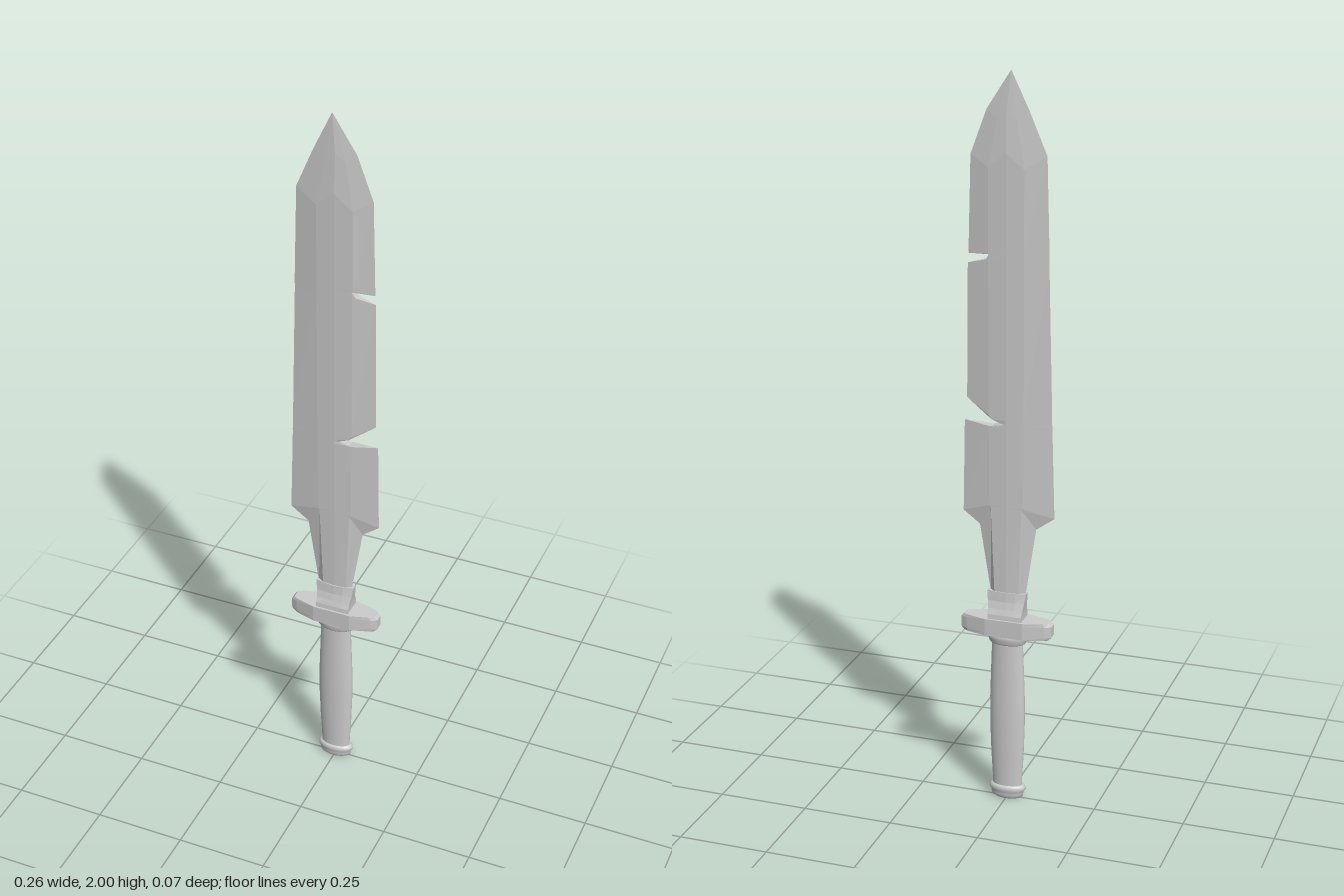
import * as THREE from 'three';

const flat = new THREE.MeshStandardMaterial({ color: 0xcccccc, flatShading: true });
const smooth = new THREE.MeshStandardMaterial({ color: 0xcccccc });

// Skins closed loops of [x, y, z], listed from top to bottom, and caps both ends.
// Each loop runs left to right along the front, then back along the rear.
function loft(name, loops) {
  const n = loops[0].length, last = (loops.length - 1) * n, index = [];
  for (let i = 0; i < loops.length - 1; i++) {
    for (let j = 0; j < n; j++) {
      const a = i * n + j, b = i * n + (j + 1) % n;
      index.push(a, a + n, b, b, a + n, b + n);
    }
  }
  for (let j = 1; j < n - 1; j++) index.push(0, j, j + 1, last, last + j + 1, last + j);
  const geometry = new THREE.BufferGeometry();
  geometry.setAttribute('position', new THREE.Float32BufferAttribute(loops.flat(2), 3));
  geometry.setIndex(index);
  geometry.computeVertexNormals();
  const mesh = new THREE.Mesh(geometry, flat);
  mesh.name = name;
  return mesh;
}

// Mirrors a front half-loop to the rear
const closeLoop = (front) => [...front, ...front.map(([x, y, z]) => [x, y, -z]).reverse()];

// Blade section: two sharp edges, two bevel ridges and a shallow centre line
function bladeSection([xL, yL, xR, yR, ridge, yRidge, z, zR, yMid = yRidge]) {
  const l = Math.max(xL, -ridge), r = Math.min(xR, ridge);
  const mid = THREE.MathUtils.clamp(0, l, r);
  return closeLoop([[xL, yL, 0], [l, yRidge, z], [mid, yMid, z * 1.2], [r, Math.max(yRidge, 0), z], [xR, yR, zR]]);
}

// Oval turned part, narrower front to back
function turned(name, points, depth) {
  const curve = points.map(([x, y]) => new THREE.Vector2(x, y));
  const mesh = new THREE.Mesh(new THREE.LatheGeometry(curve, 32), smooth);
  mesh.scale.z = depth;
  mesh.name = name;
  return mesh;
}

export function createModel() {
  const group = new THREE.Group();
  group.name = 'shortSword';

  // Blade rows: left x, y, right x, y, ridge half width, ridge y, ridge z, right edge z, centre y
  const rows = [
    [-0.01, 2, -0.01, 2, 0.01, 2, 0, 0],
    [-0.058, 1.9, 0.055, 1.9, 0.026, 1.88, 0.006, 0, 1.9],
    [-0.105, 1.79, 0.098, 1.785, 0.048, 1.755, 0.011, 0, 1.795],
    // upper nick
    [-0.112, 1.535, 0.105, 1.53, 0.048, 1.535, 0.011, 0],
    [-0.112, 1.53, 0.046, 1.533, 0.048, 1.533, 0.011, 0.011],
    [-0.112, 1.515, 0.056, 1.518, 0.048, 1.518, 0.011, 0.0095],
    [-0.112, 1.505, 0.107, 1.505, 0.048, 1.515, 0.011, 0],
    // lower nick
    [-0.121, 1.145, 0.111, 1.145, 0.048, 1.105, 0.011, 0],
    [-0.122, 1.092, 0.04, 1.094, 0.048, 1.094, 0.011, 0.011],
    [-0.123, 1.082, 0.012, 1.083, 0.048, 1.083, 0.011, 0.012],
    [-0.123, 1.076, 0.04, 1.076, 0.048, 1.076, 0.011, 0.011],
    [-0.123, 1.07, 0.118, 1.083, 0.048, 1.075, 0.011, 0],
    // shoulders and tang
    [-0.13, 0.833, 0.123, 0.83, 0.047, 0.855, 0.011, 0],
    [-0.08, 0.797, 0.077, 0.795, 0.043, 0.85, 0.011, 0],
    [-0.05, 0.6, 0.046, 0.6, 0.033, 0.6, 0.011, 0],
  ];
  group.add(loft('blade', rows.map(bladeSection)));

  // Flared collar gripping the tang: half width, y, corner z, middle z
  const collar = [
    [0.054, 0.612, 0.008, 0.016],
    [0.051, 0.585, 0.014, 0.018],
    [0.048, 0.565, 0.021, 0.023],
    [0.047, 0.55, 0.028, 0.028],
    [0.047, 0.53, 0.03, 0.03],
  ];
  group.add(loft('collar', collar.map(([w, y, zc, zm]) =>
    closeLoop([[-w, y, zc], [-w / 2, y, zc + (zm - zc) * 0.75], [0, y, zm], [w / 2, y, zc + (zm - zc) * 0.75], [w, y, zc]]))));

  // Crossguard with tapered ends and slightly chamfered rims
  const guard = [[0.537, 0.008], [0.528, 0], [0.498, 0], [0.489, 0.008]];
  group.add(loft('crossguard', guard.map(([y, c]) => closeLoop([
    [-0.127 + c, y, 0.012], [-0.11 + c / 2, y, 0.02], [-0.053, y, 0.035],
    [0.053, y, 0.035], [0.11 - c / 2, y, 0.02], [0.127 - c, y, 0.012],
  ]))));

  // Oval grip with a ferrule above and a pommel below
  group.add(turned('ferrule', [[0, 0.462], [0.046, 0.462], [0.051, 0.466], [0.052, 0.474], [0.055, 0.478], [0.056, 0.492], [0, 0.492]], 0.53));
  group.add(turned('grip', [[0.041, 0.025], [0.042, 0.06], [0.046, 0.13], [0.049, 0.22], [0.049, 0.3], [0.046, 0.39], [0.043, 0.47]], 0.52));
  group.add(turned('pommel', [[0, 0], [0.036, 0.001], [0.044, 0.006], [0.046, 0.014], [0.046, 0.02], [0.051, 0.025], [0.051, 0.033], [0.046, 0.038], [0.04, 0.04]], 0.54));
  return group;
}
